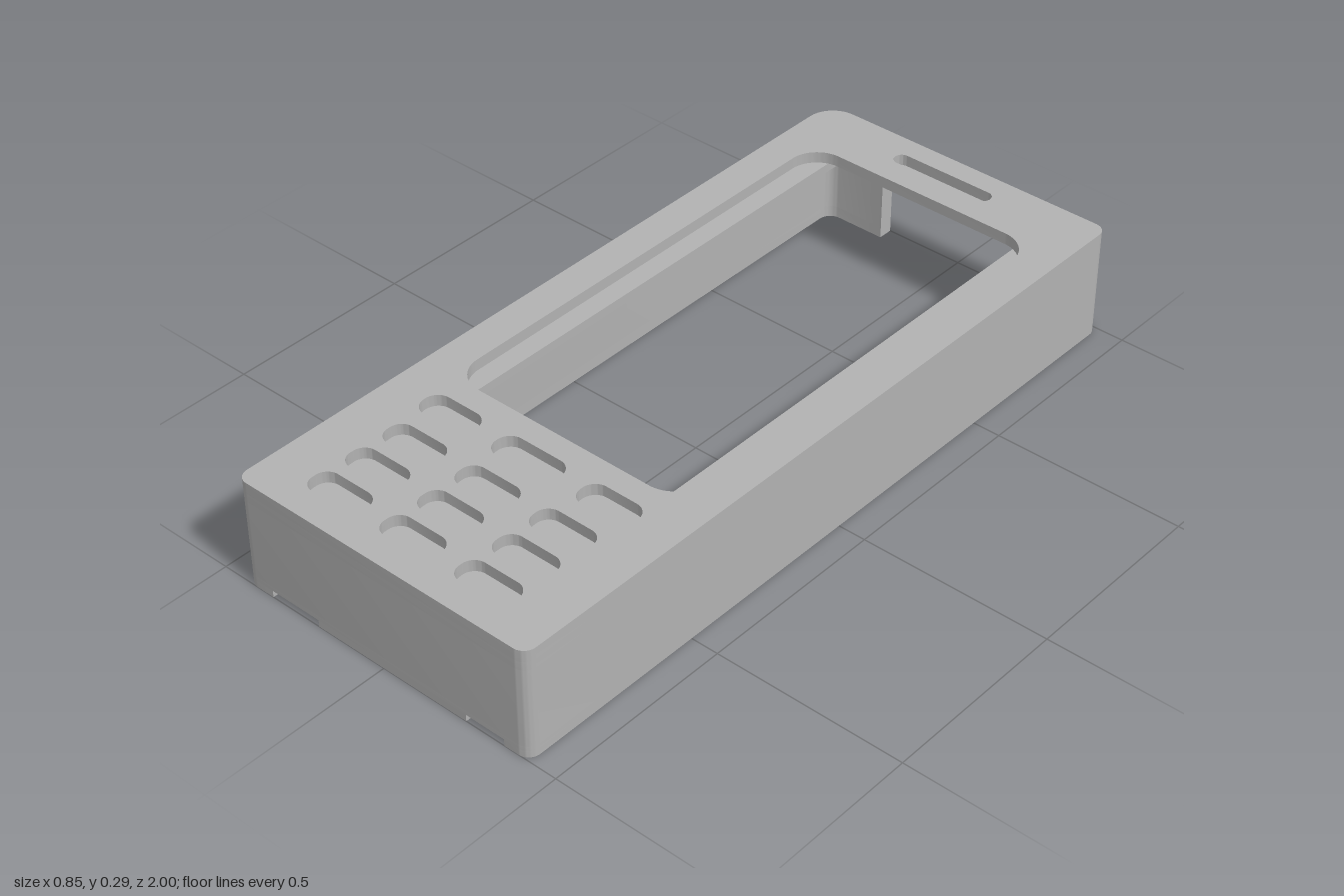
import * as THREE from 'three';
import { toCreasedNormals } from 'three/addons/utils/BufferGeometryUtils.js';

const W = 0.427, L = 1, T = 0.04;               // half width, half length, wall thickness
const TOP = 0.293, LIP = 0.263, UNDER = 0.24;   // face, pocket floor and underside heights

// Corners of the plan, in order: [sign x, sign z, radius]
const CORNERS = [[-1, -1, 0.075], [-1, 1, 0.032], [1, 1, 0.032], [1, -1, 0.032]];

// Outer and inner points round one corner of the wall
function corner(k) {
  const [sx, sz, r] = CORNERS[k], out = [];
  const inner = Math.max(r, T + 0.002);
  for (let i = 0; i <= 10; i++) {
    const a = -Math.PI / 2 * (1 + k + i / 10), c = Math.cos(a), s = Math.sin(a);
    out.push([
      new THREE.Vector2(sx * (W - r) + c * r, sz * (L - r) + s * r),
      new THREE.Vector2(sx * (W - inner) + c * (inner - T), sz * (L - inner) + s * (inner - T)),
    ]);
  }
  return out;
}

// Straight cuts through the end walls and the side wall
const endCut = (x, s) => [[new THREE.Vector2(x, s * L), new THREE.Vector2(x, s * (L - T))]];
const sideCut = (z, s) => [[new THREE.Vector2(s * W, z), new THREE.Vector2(s * (W - T), z)]];

// Plan shape of a stretch of wall from its point pairs
function stretch(...parts) {
  const pairs = parts.flat();
  return new THREE.Shape([...pairs.map(p => p[0]), ...pairs.map(p => p[1]).reverse()]);
}

function outline() {
  return new THREE.Shape([0, 1, 2, 3].flatMap(k => corner(k).map(p => p[0])));
}

function roundedHole(x, z, w, h, r) {
  const p = new THREE.Path(), a = w / 2 - r, b = h / 2 - r, q = Math.PI / 2;
  p.absarc(x + a, z + b, r, 0, q);
  p.absarc(x - a, z + b, r, q, 2 * q);
  p.absarc(x - a, z - b, r, 2 * q, 3 * q);
  p.absarc(x + a, z - b, r, 3 * q, 4 * q);
  p.closePath();
  return p;
}

// Extrude a plan shape (x, z) between two heights
function slab(shape, y0, y1) {
  const g = new THREE.ExtrudeGeometry(shape, { depth: y1 - y0, bevelEnabled: false, curveSegments: 10 });
  g.rotateX(Math.PI / 2).translate(0, y1, 0);
  return toCreasedNormals(g, 0.6);
}

export function createModel() {
  const model = new THREE.Group();
  model.name = 'handsetShell';
  const grey = new THREE.MeshStandardMaterial({ color: 0xb2b2b2 });
  grey.name = 'grey plastic';
  const add = (name, geometry) => {
    const m = new THREE.Mesh(geometry, grey);
    m.name = name;
    model.add(m);
    return m;
  };

  // Face with screen opening, earpiece recess and key recesses
  const face = outline();
  face.holes.push(roundedHole(0, -0.192, 0.67, 1.265, 0.08));
  face.holes.push(roundedHole(-0.005, -0.918, 0.29, 0.042, 0.02));
  for (const [x, w] of [[-0.24, 0.16], [-0.003, 0.19], [0.233, 0.16]])
    face.holes.push(roundedHole(x, 0.542, w, 0.078, 0.037));
  for (const z of [0.667, 0.778, 0.888])
    for (const x of [-0.223, -0.003, 0.217])
      face.holes.push(roundedHole(x, z, 0.162, 0.076, 0.034));
  add('face', slab(face, LIP, TOP));

  // Lower layer: recess floors and the ledges beside the screen
  const ledge = outline();
  ledge.holes.push(new THREE.Path([[-0.283, -0.88], [0.283, -0.88], [0.283, 0.5], [-0.283, 0.5]]
    .map(p => new THREE.Vector2(...p))));
  add('screenLedge', slab(ledge, UNDER, LIP));

  // Walls with the opening in the back end
  const backL = endCut(-0.217, -1), backR = endCut(0.217, -1);
  add('walls', slab(stretch(backL, corner(0), corner(1), corner(2), corner(3), backR), 0.03, UNDER));
  add('backLintel', slab(stretch(backR, backL), 0.205, UNDER));

  // Bottom rim, broken by one side notch and two front notches
  const rimSide = stretch(backL, corner(0), sideCut(0.6, -1));
  add('sideRim', slab(rimSide, 0, 0.03));
  add('upperRim', slab(stretch(sideCut(0.86, -1), corner(1), corner(2), corner(3), backR), 0.018, 0.03));
  add('cornerRim', slab(stretch(sideCut(0.86, -1), corner(1), endCut(-0.345, 1)), 0, 0.018));
  add('frontRim', slab(stretch(endCut(-0.2, 1), endCut(0.245, 1)), 0, 0.018));
  add('longRim', slab(stretch(endCut(0.355, 1), corner(2), corner(3), backR), 0, 0.018));

  // Hollow screw posts
  const profile = [[0, 0.09], [0.044, 0.09], [0.044, 0.001], [0.066, 0.001], [0.066, 0.212], [0, 0.212]];
  const post = toCreasedNormals(
    new THREE.LatheGeometry(profile.map(p => new THREE.Vector2(...p)), 32), 0.6);
  for (const [x, z] of [[-0.352, 0.46], [0.352, 0.46], [0, 0.9]])
    add('screwPost', post).position.set(x, 0, z);

  return model;
}
